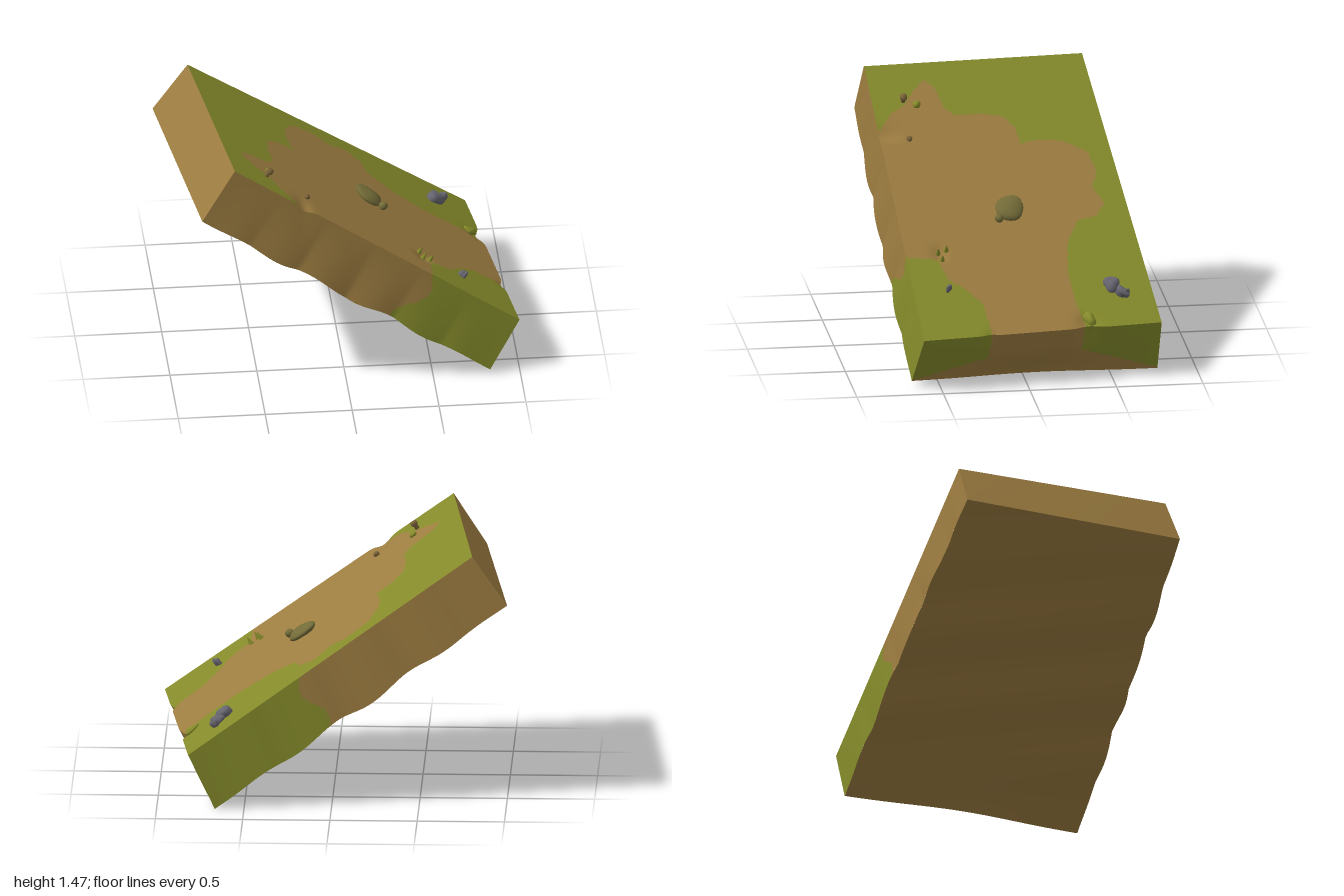
import * as THREE from 'three';

const V = (x, y, z) => new THREE.Vector3(x, y, z);
const mat = (name, color) => Object.assign(new THREE.MeshStandardMaterial({ color }), { name });

// Slab corners: [back, front] at the high end, then at the low end
const TOP = [[V(-0.80, 1.455, -0.54), V(-0.65, 1.475, 0.74)], [V(0.82, 0.33, -0.785), V(1.0, 0.33, 0.61)]];
const BOTTOM = [[V(-1.0, 1.17, -0.55), V(-0.84, 1.17, 0.77)], [V(0.67, 0.01, -0.78), V(0.83, 0.04, 0.66)]];

// Outline of the bare earth on the top, in x and z
const EARTH = [
  [-0.30, 0.85], [-0.28, 0.69], [-0.37, 0.62], [-0.42, 0.54], [-0.52, 0.47], [-0.59, 0.40], [-0.53, 0.34],
  [-0.43, 0.31], [-0.38, 0.25], [-0.40, 0.10], [-0.39, -0.02], [-0.33, -0.09], [-0.23, -0.11], [-0.26, -0.22],
  [-0.26, -0.36], [-0.20, -0.49], [-0.08, -0.53], [0.01, -0.49], [0.11, -0.55], [0.19, -0.49],
  [0.22, -0.38], [0.36, -0.30], [0.55, -0.28], [0.72, -0.30], [0.87, -0.35], [1.2, -0.35], [1.2, 0.2],
  [0.92, 0.21], [0.76, 0.24], [0.68, 0.32], [0.62, 0.42], [0.50, 0.47], [0.50, 0.56], [0.50, 0.85],
];
function inEarth(x, z) {
  let inside = false;
  EARTH.forEach(([x1, z1], i) => {
    const [x2, z2] = EARTH[(i + 1) % EARTH.length];
    if ((z1 > z) !== (z2 > z) && x < x1 + (x2 - x1) * (z - z1) / (z2 - z1)) inside = !inside;
  });
  return inside;
}

const bump = (a, b, r) => Math.exp(-(a * a + b * b) / (r * r));

// Point inside the slab: u runs downhill, v back to front, t top to bottom
function slabPoint(u, v, t) {
  const layer = (c) => c[0][0].clone().lerp(c[0][1], v).lerp(c[1][0].clone().lerp(c[1][1], v), u);
  const p = layer(TOP).lerp(layer(BOTTOM), t);
  const mid = Math.sin(Math.PI * u);
  // scalloped lower rims
  p.z += 0.018 * t * mid * (v * Math.abs(Math.sin(u * 19)) - (1 - v) * Math.abs(Math.sin(u * 15 + 1)));
  p.y += 0.018 * t * mid * Math.sin(u * 24 + v * 5);
  // undercut and shallow hollow on the low end
  p.x -= 0.05 * bump(v - 0.5, (t - 1) * 0.6, 0.3) * Math.pow(u, 12);
  p.x += 0.015 * bump(v - 0.53, (t - 0.55) * 0.5, 0.16) * Math.pow(u, 12);
  // dents along the rim of the top
  const skin = 1 - t;
  p.y -= 0.025 * skin * bump(p.x + 0.25, (p.z - 0.7) * 0.4, 0.045);
  p.y -= 0.02 * skin * bump(p.x - 0.46, p.z - 0.45, 0.04);
  p.x -= 0.035 * skin * bump(p.x - 0.86, p.z + 0.36, 0.06);
  p.x -= 0.02 * skin * bump(p.x - 0.96, p.z - 0.21, 0.04);
  return p;
}

// One side of the slab as a grid, with grass and earth as geometry groups
function slabSide(name, na, nb, map, isGrass, materials) {
  const pos = [], grass = [], earth = [];
  for (let i = 0; i <= na; i++) for (let j = 0; j <= nb; j++) pos.push(...slabPoint(...map(i / na, j / nb)).toArray());
  const add = (...tri) => {
    const c = V(0, 0, 0);
    tri.forEach((k) => c.add(V(pos[3 * k], pos[3 * k + 1], pos[3 * k + 2]).divideScalar(3)));
    const a = tri.reduce((s, k) => s + Math.floor(k / (nb + 1)), 0) / (3 * na);
    const b = tri.reduce((s, k) => s + k % (nb + 1), 0) / (3 * nb);
    (isGrass(c, ...map(a, b)) ? grass : earth).push(...tri);
  };
  for (let i = 0; i < na; i++) for (let j = 0; j < nb; j++) {
    const k = i * (nb + 1) + j, l = k + nb + 1;
    add(k, l, l + 1);
    add(k, l + 1, k + 1);
  }
  const g = new THREE.BufferGeometry();
  g.setAttribute('position', new THREE.Float32BufferAttribute(pos, 3));
  g.setIndex([...grass, ...earth]);
  g.addGroup(0, grass.length, 0);
  g.addGroup(grass.length, earth.length, 1);
  g.computeVertexNormals();
  const mesh = new THREE.Mesh(g, materials);
  mesh.name = name;
  return mesh;
}

// Lumpy stone, made from a sphere
function lump(sx, sy, sz, seed, rough) {
  const g = new THREE.SphereGeometry(1, 20, 14), p = g.attributes.position;
  for (let i = 0; i < p.count; i++) {
    const d = V(0, 0, 0).fromBufferAttribute(p, i);
    const k = 1 + rough * (Math.sin(d.x * 3 + seed) * Math.cos(d.z * 3 - seed) + 0.5 * Math.sin(d.y * 4 + d.x * 2 + seed * 2));
    p.setXYZ(i, d.x * k * sx, d.y * k * sy, d.z * k * sz);
  }
  g.computeVertexNormals();
  return g;
}

export function createModel() {
  const model = new THREE.Group();
  const grass = mat('grass', 0x848a2a), earth = mat('earth', 0x9c7c40);
  const rock = mat('rock', 0x66656f), stone = mat('mossy stone', 0x736b38), wood = mat('stump', 0x7a6238);
  const skin = [grass, earth];

  // Tilted slab of ground
  model.add(
    slabSide('groundTop', 110, 140, (a, b) => [b, a, 0], (p) => !inEarth(p.x, p.z), skin),
    slabSide('groundUnderside', 50, 40, (a, b) => [a, b, 1], () => false, skin),
    slabSide('groundFront', 120, 24, (a, b) => [a, 1, 1 - b],
      (p, u, v, t) => u > 0.69 + 0.03 * Math.sin(t * 5) - 0.01 * t, skin),
    slabSide('groundBack', 120, 24, (a, b) => [1 - a, 0, 1 - b],
      (p, u, v, t) => u > 0.61 + 0.02 * Math.sin(t * 6), skin),
    slabSide('groundLowEnd', 30, 100, (a, b) => [1, b, 1 - a],
      (p, u, v, t) => (v > 0.71 && t < 0.55 + 1.5 * (v - 0.71)) || (v < 0.32 && t < 0.5 + 1.5 * (0.32 - v)), skin),
    slabSide('groundHighEnd', 16, 60, (a, b) => [0, b, a], () => false, skin),
  );

  // Places a part on the slope, lifted along its normal
  const place = (name, geometry, material, x, z, lift, turn = 0) => {
    const holder = new THREE.Group(), mesh = new THREE.Mesh(geometry, material);
    holder.name = name;
    mesh.position.y = lift;
    mesh.rotation.y = turn;
    holder.position.set(x, 1.475 - 0.09 * (0.74 - z) - 0.69 * (x + 0.65), z);
    holder.rotation.z = -0.6;
    holder.add(mesh);
    model.add(holder);
  };

  // Flat stone in the middle with a small one beside it
  place('flatStone', lump(0.09, 0.03, 0.08, 1, 0.08), stone, 0.18, 0.01, 0.02);
  place('smallStone', lump(0.026, 0.024, 0.024, 2, 0.06), stone, 0.25, 0.08, 0.03);

  // Grey rocks
  place('largeRock', lump(0.052, 0.035, 0.045, 3, 0.18), rock, 0.61, -0.52, 0.02);
  place('sideRock', lump(0.05, 0.028, 0.03, 5, 0.2), rock, 0.65, -0.575, 0.02, 0.6);
  place('rockTip', lump(0.02, 0.035, 0.02, 4, 0.2), rock, 0.66, -0.6, 0.02);
  place('rockShard', lump(0.024, 0.03, 0.012, 6, 0.2), rock, 0.68, 0.425, 0.015, -0.6);
  place('rockShard', lump(0.012, 0.026, 0.01, 8, 0.2), rock, 0.69, 0.435, 0.02);

  // Small stump and knobs
  const stump = [[0, -0.02], [0.013, -0.02], [0.013, 0.02], [0.021, 0.03], [0.02, 0.048], [0, 0.052]];
  place('stump', new THREE.LatheGeometry(stump.map(([r, y]) => new THREE.Vector2(r, y)), 14), wood, -0.45, 0.54, 0);
  place('grassKnob', lump(0.024, 0.018, 0.022, 7, 0.1), grass, -0.43, 0.465, 0.006);
  place('earthKnob', lump(0.018, 0.016, 0.017, 9, 0.1), wood, -0.22, 0.535, 0.008);

  // Grass sprouts
  [[0.44, 0.41, 0.4], [0.46, 0.46, 0], [0.5, 0.44, -0.5]].forEach(([x, z, turn]) =>
    place('grassSprout', new THREE.ConeGeometry(0.016, 0.05, 8), grass, x, z, 0.02, turn));
  place('grassClump', lump(0.05, 0.02, 0.03, 10, 0.15), grass, 0.81, -0.37, 0, 0.5);
  return model;
}
